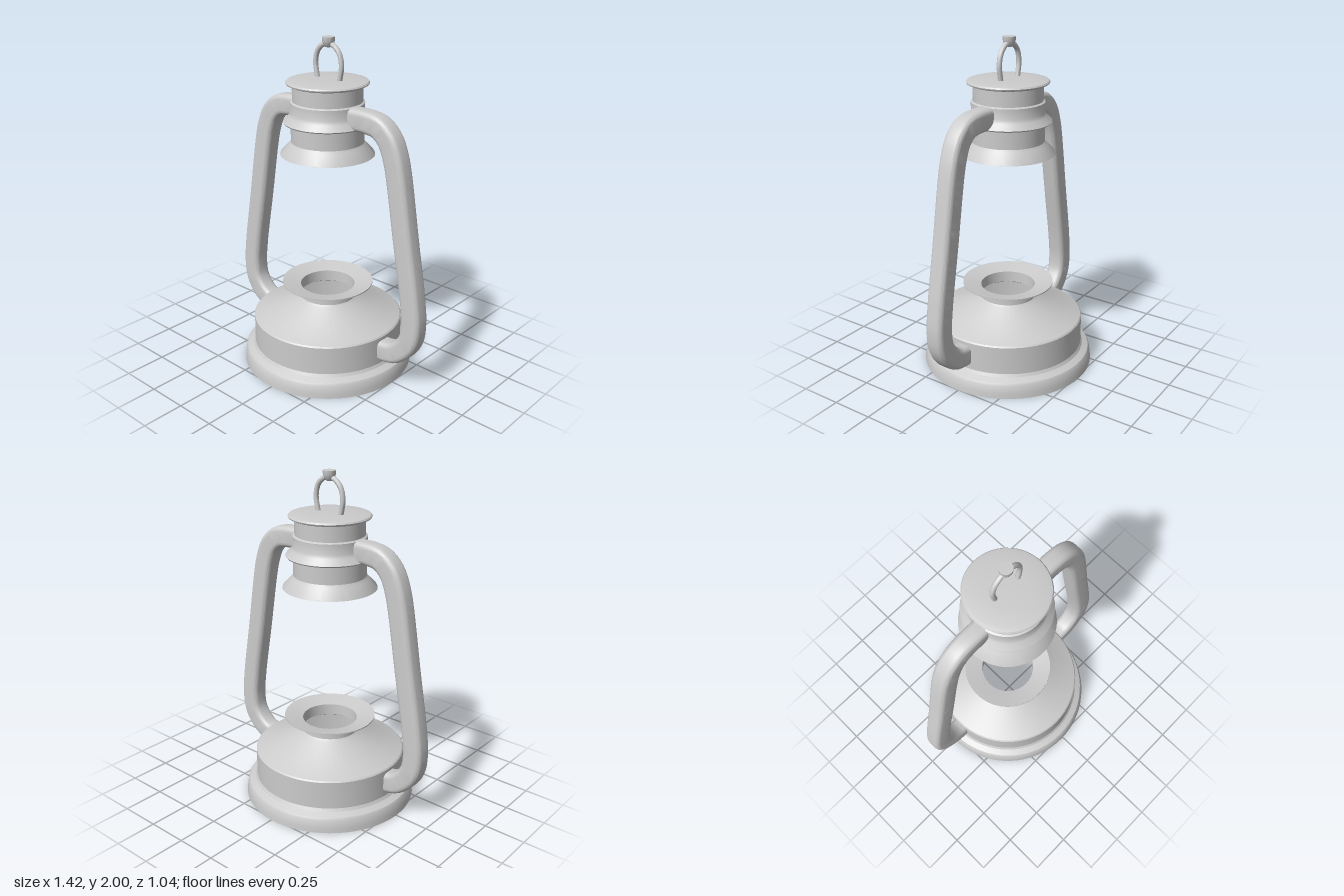
import * as THREE from 'three';
import { toCreasedNormals } from 'three/addons/utils/BufferGeometryUtils.js';

const material = new THREE.MeshStandardMaterial({ color: 0xcccccc, side: THREE.DoubleSide });

function addMesh(parent, name, geometry, crease = 0.45) {
  const mesh = new THREE.Mesh(toCreasedNormals(geometry, crease), material);
  mesh.name = name;
  parent.add(mesh);
  return mesh;
}

// Turned part from [radius, height] pairs, bottom to top
function turned(parent, name, profile, segments = 64) {
  const points = profile.map(([r, y]) => new THREE.Vector2(r, y));
  return addMesh(parent, name, new THREE.LatheGeometry(points, segments));
}

function curve(points) {
  return new THREE.CatmullRomCurve3(points.map(([x, y]) => new THREE.Vector3(x, y, 0)));
}

// Rounded rectangular section for the side frame
function frameSection(w, h, r) {
  const s = new THREE.Shape();
  const x = w / 2 - r, y = h / 2 - r;
  s.absarc(x, y, r, 0, Math.PI / 2);
  s.absarc(-x, y, r, Math.PI / 2, Math.PI);
  s.absarc(-x, -y, r, Math.PI, Math.PI * 1.5);
  s.absarc(x, -y, r, Math.PI * 1.5, Math.PI * 2);
  s.closePath();
  return s;
}

export function createModel() {
  const lantern = new THREE.Group();
  lantern.name = 'lantern';

  // Turned metalwork sits a touch off the frame's centre
  const body = new THREE.Group();
  body.name = 'body';
  body.position.x = -0.016;
  lantern.add(body);

  // Hollow fuel base, open underneath, with a flared burner neck
  turned(body, 'fuelBase', [
    [0.52, 0], [0.518, 0.03], [0.51, 0.078], [0.502, 0.09], [0.465, 0.108], [0.455, 0.125],
    [0.455, 0.295], [0.448, 0.303], [0.185, 0.412], [0.172, 0.425], [0.17, 0.487],
    [0.2, 0.492], [0.275, 0.508], [0.275, 0.515], [0.2, 0.5], [0.165, 0.492], [0.163, 0.425],
  ]);

  // Chimney: flared skirt, tube, collar with drip lip, upper tube
  turned(body, 'chimney', [
    [0.205, 1.4], [0.27, 1.33], [0.275, 1.33], [0.272, 1.338], [0.222, 1.39], [0.212, 1.405],
    [0.212, 1.51], [0.25, 1.515], [0.255, 1.522], [0.25, 1.53], [0.222, 1.555],
    [0.213, 1.575], [0.213, 1.635], [0.202, 1.642], [0.202, 1.74],
  ]);

  // Domed cap
  turned(body, 'cap', [
    [0, 1.735], [0.205, 1.733], [0.222, 1.735], [0.235, 1.741], [0.238, 1.748],
    [0.232, 1.756], [0.21, 1.761], [0.12, 1.765], [0, 1.767],
  ]);

  // Hanging loop and knob
  const hanger = new THREE.Group();
  hanger.name = 'hanger';
  hanger.position.z = -0.007;
  body.add(hanger);
  const loop = curve([
    [-0.08, 1.75], [-0.089, 1.79], [-0.097, 1.85], [-0.08, 1.915], [-0.04, 1.953], [0, 1.963],
    [0.04, 1.953], [0.08, 1.915], [0.097, 1.85], [0.089, 1.79], [0.08, 1.75],
  ]);
  addMesh(hanger, 'hangingLoop', new THREE.TubeGeometry(loop, 48, 0.015, 12), 0.8);
  turned(hanger, 'knob', [
    [0, 1.94], [0.018, 1.943], [0.028, 1.955], [0.036, 1.978], [0.037, 2], [0, 2],
  ], 20);

  // Two side frame tubes, running from inside the base to inside the collar
  const path = curve([
    [0.395, 0.21], [0.46, 0.212], [0.525, 0.227], [0.59, 0.277], [0.635, 0.35], [0.648, 0.45],
    [0.635, 0.59], [0.572, 0.95], [0.508, 1.32], [0.485, 1.41], [0.445, 1.5],
    [0.38, 1.558], [0.3, 1.575], [0.17, 1.575],
  ]);
  const tube = new THREE.ExtrudeGeometry(frameSection(0.112, 0.127, 0.032), {
    extrudePath: path, steps: 72, curveSegments: 5,
  });
  for (const [name, turn] of [['leftFrame', 0], ['rightFrame', Math.PI]]) {
    const side = addMesh(lantern, name, tube, 0.6);
    side.rotation.y = turn;
    side.position.z = 0.009;
  }
  return lantern;
}
